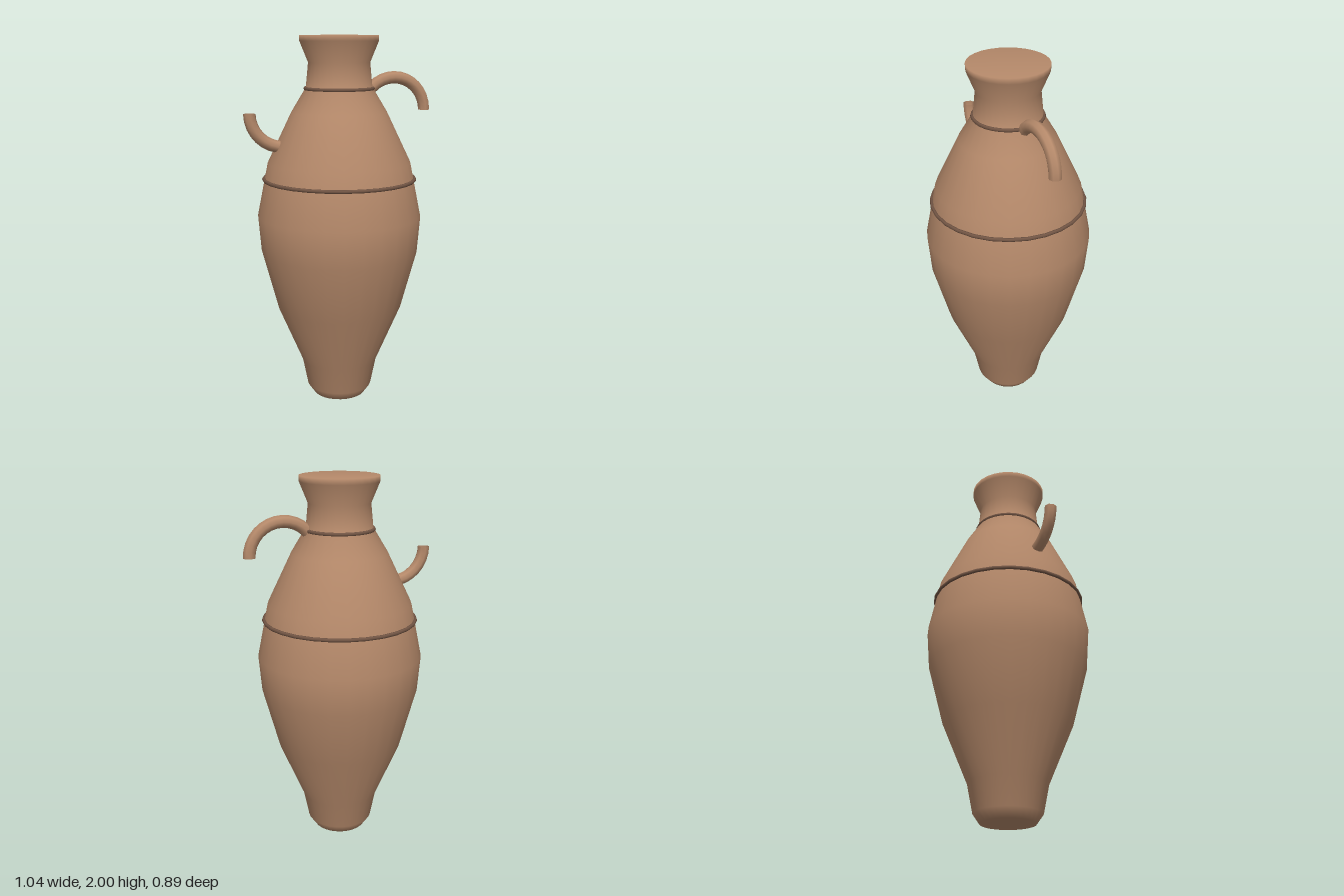
import * as THREE from 'three';

export function createModel() {
  const group = new THREE.Group();
  group.name = 'amphora';
  const clay = new THREE.MeshStandardMaterial({ color: 0xb5896a, side: THREE.DoubleSide });
  clay.name = 'clay';
  const darkClay = new THREE.MeshStandardMaterial({ color: 0x735645 });
  darkClay.name = 'dark clay';

  const add = (name, geometry, material) => {
    const mesh = new THREE.Mesh(geometry, material);
    mesh.name = name;
    group.add(mesh);
    return mesh;
  };

  // Closed body, radius and height from foot to mouth
  const profile = [
    [0, 0], [0.145, 0], [0.18, 0.05], [0.21, 0.2], [0.345, 0.52], [0.43, 0.84],
    [0.446, 1.04], [0.387, 1.33], [0.257, 1.6], [0.178, 1.73], [0.165, 1.86],
    [0.21, 1.97], [0.21, 2], [0, 2],
  ].map(([r, y]) => new THREE.Vector2(r, y));
  add('body', new THREE.LatheGeometry(profile, 28), clay);

  // Raised bands around the shoulder and the neck
  for (const [name, radius, y] of [['shoulderBand', 0.41, 1.24], ['neckBand', 0.181, 1.724]]) {
    const band = add(name, new THREE.TorusGeometry(radius, 0.01, 6, 28), darkClay);
    band.rotation.x = Math.PI / 2;
    band.position.y = y;
  }

  // Half-ring handles: the left one arches up, the right one hangs down
  for (const [name, side, turn] of [['leftHandle', 1, 0], ['rightHandle', -1, Math.PI]]) {
    const handle = add(name, new THREE.TorusGeometry(0.178, 0.033, 8, 16, Math.PI), clay);
    handle.position.set(side * 0.309, 1.6, 0);
    handle.rotation.z = turn;
  }

  return group;
}
